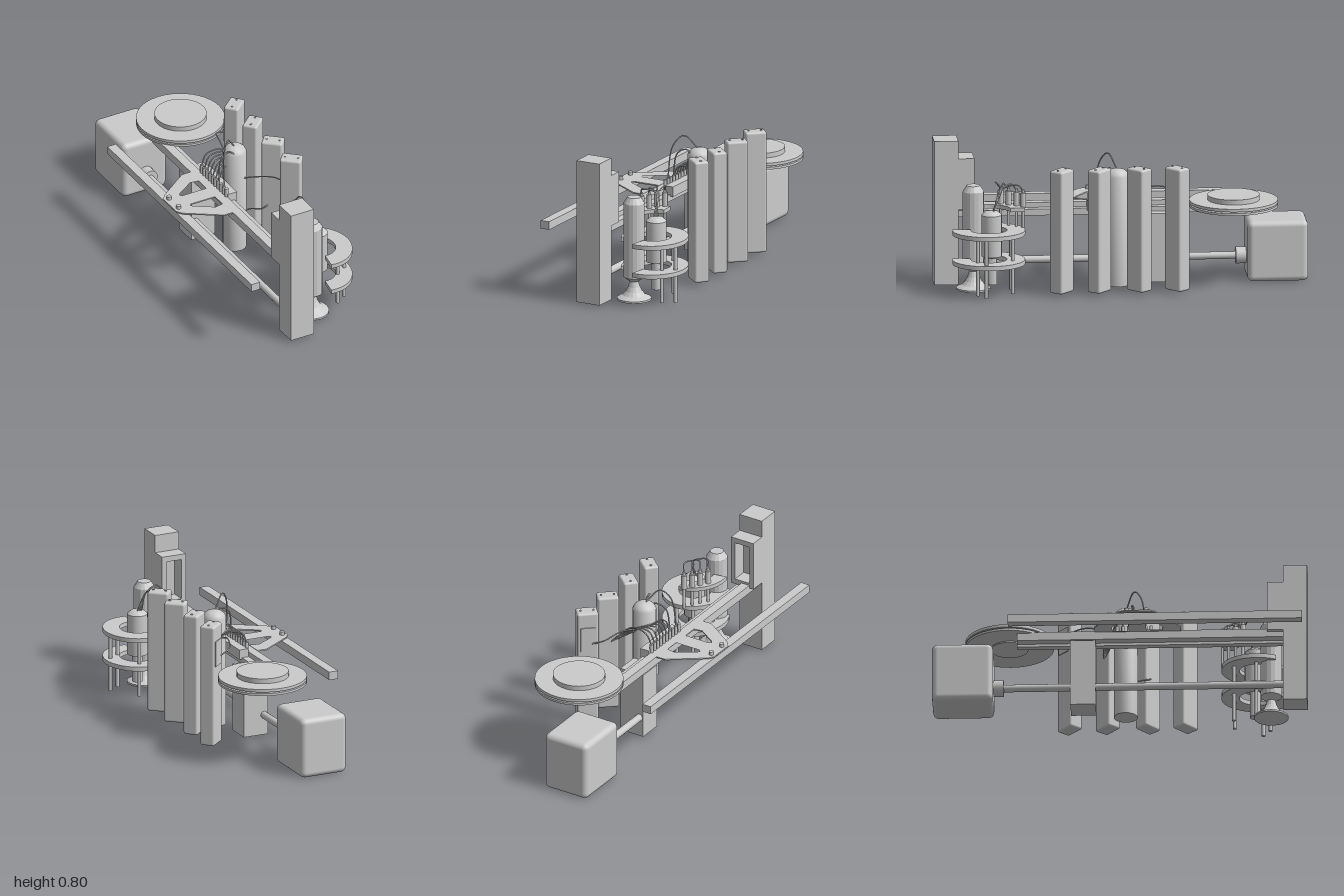
import * as THREE from 'three';
import { RoundedBoxGeometry } from 'three/addons/geometries/RoundedBoxGeometry.js';
import { toCreasedNormals } from 'three/addons/utils/BufferGeometryUtils.js';

const grey = new THREE.MeshStandardMaterial({ color: 0xcccccc });
const flat = new THREE.MeshStandardMaterial({ color: 0xcccccc, flatShading: true });

export function createModel() {
  const model = new THREE.Group();

  const add = (name, geo, x = 0, y = 0, z = 0, mat = grey) => {
    const m = new THREE.Mesh(geo, mat);
    m.name = name;
    m.position.set(x, y, z);
    model.add(m);
    return m;
  };
  // Box given by its limits on each axis
  const box = (name, x0, x1, y0, y1, z0, z1) =>
    add(name, new THREE.BoxGeometry(x1 - x0, y1 - y0, z1 - z0), (x0 + x1) / 2, (y0 + y1) / 2, (z0 + z1) / 2);
  // Upright cylinder from y0 to y1
  const post = (name, x, z, r, y0, y1, sides = 16) =>
    add(name, new THREE.CylinderGeometry(r, r, y1 - y0, sides), x, (y0 + y1) / 2, z);
  // Turned part from [radius, y] pairs
  const turned = (name, pts, x, z, sides, mat = grey) => {
    const geo = new THREE.LatheGeometry(pts.map(p => new THREE.Vector2(...p)), sides);
    return add(name, mat === flat ? geo : toCreasedNormals(geo, 0.6), x, 0, z, mat);
  };
  // Flat plate from an x/z outline, lying between y0 and y1
  const plate = (name, shape, y0, y1) => {
    const geo = new THREE.ExtrudeGeometry(shape, { depth: y1 - y0, bevelEnabled: false });
    geo.rotateX(Math.PI / 2);
    return add(name, toCreasedNormals(geo, 0.5), 0, y1, 0);
  };
  const wire = (name, ...pts) => {
    const curve = new THREE.CatmullRomCurve3(pts.map(p => new THREE.Vector3(...p)));
    return add(name, new THREE.TubeGeometry(curve, 20, 0.004, 6));
  };
  const outline = pts => pts.map(p => new THREE.Vector2(...p));

  // Tower with a hollow box frame on its back
  box('tower', -0.135, 0.005, 0.01, 0.797, 0.87, 1);
  const frame = new THREE.Shape(outline([[-0.135, 0.42], [0.005, 0.42], [0.005, 0.7], [-0.135, 0.7]]));
  frame.holes.push(new THREE.Path(outline([[-0.11, 0.45], [-0.11, 0.67], [-0.02, 0.67], [-0.02, 0.45]])));
  add('towerFrame', new THREE.ExtrudeGeometry(frame, { depth: 0.085, bevelEnabled: false }), 0, 0, 0.785);

  // Long beams, side rail and support post
  box('mainBeam', -0.11, -0.06, 0.39, 0.437, -0.55, 0.87);
  box('lowerBeam', -0.06, -0.02, 0.375, 0.41, -0.55, 0.87);
  box('sideRail', -0.365, -0.313, 0.38, 0.425, -0.59, 0.98);
  box('supportPost', -0.11, 0.035, 0.01, 0.385, -0.265, -0.13);

  // Rounded tank, its collar and floor pipe
  add('tank', new RoundedBoxGeometry(0.27, 0.33, 0.325, 4, 0.03), -0.085, 0.165, -0.8375);
  add('tankPipe', new THREE.CylinderGeometry(0.02, 0.02, 1.55, 16), -0.085, 0.12, 0.1).rotation.x = Math.PI / 2;
  add('pipeCollar', new THREE.CylinderGeometry(0.045, 0.045, 0.06, 20), -0.085, 0.12, -0.65).rotation.x = Math.PI / 2;

  // Stacked discs at the back
  post('lowerDisc', 0.085, -0.595, 0.237, 0.432, 0.445, 40);
  post('discHub', 0.085, -0.595, 0.1, 0.425, 0.46, 32);
  post('upperDisc', 0.085, -0.595, 0.237, 0.452, 0.468, 40);
  post('discCap', 0.085, -0.595, 0.14, 0.468, 0.495, 32);

  // Triangular bracket with two cutouts and bolts
  const bracket = new THREE.Shape(outline([[-0.11, -0.135], [-0.165, -0.135], [-0.35, 0.0], [-0.37, 0.03],
    [-0.37, 0.17], [-0.35, 0.2], [-0.165, 0.325], [-0.11, 0.325]]));
  for (const s of [-1, 1]) {
    const at = z => 0.095 + s * z;
    bracket.holes.push(new THREE.Path(outline([[-0.265, at(0.047)], [-0.118, at(0.047)], [-0.118, at(0.13)],
      [-0.165, at(0.138)], [-0.265, at(0.072)], [-0.275, at(0.058)]])));
    post('bracketBolt', -0.343, at(0.052), 0.013, 0.435, 0.458);
  }
  plate('bracket', bracket, 0.432, 0.439);

  // Four rounded columns, turned in pairs
  const columns = [[0.237, -0.28, 0.72], [0.237, -0.077, 0.72], [0.24, 0.137, -0.72], [0.24, 0.338, -0.72]];
  columns.forEach(([x, z, turn]) => {
    const column = new THREE.Group();
    column.name = 'column';
    column.position.set(x, 0, z);
    column.rotation.y = turn;
    const body = new THREE.Mesh(new RoundedBoxGeometry(0.115, 0.67, 0.082, 3, 0.012), grey);
    body.name = 'columnBody';
    body.position.y = 0.35;
    column.add(body);
    for (const s of [-1, 1]) {
      const stud = new THREE.Mesh(new THREE.CylinderGeometry(0.006, 0.006, 0.008, 10), grey);
      stud.name = 'columnStud';
      stud.position.set(s * 0.035, 0.685, 0);
      column.add(stud);
    }
    model.add(column);
  });
  const panel = new THREE.Mesh(new THREE.BoxGeometry(0.08, 0.14, 0.008), grey);
  panel.name = 'columnPanel';
  panel.position.set(0, 0.53, -0.042);
  model.children.find(c => c.name === 'column').add(panel);

  // Domed cylinder between the beam and the columns
  turned('domedCylinder', [[0, 0.01], [0.064, 0.01], [0.064, 0.605], [0.054, 0.625], [0.035, 0.64], [0, 0.648]],
    0.068, 0.025, 20);

  // Terminal strip with wires gathered at the second column
  box('terminalStrip', -0.06, -0.005, 0.4, 0.455, -0.13, 0.18);
  for (let i = 0; i < 10; i++) {
    const z = -0.105 + i * 0.03;
    post('terminal', -0.06, z, 0.01, 0.43, 0.485, 10);
    if (i < 7) wire('terminalWire', [-0.06, 0.48, z], [-0.03, 0.54, z - 0.005],
      [0.06, 0.55 - i * 0.008, z * 0.5 - 0.05], [0.2, 0.42, -0.095]);
  }
  wire('domeWire', [-0.06, 0.48, 0.14], [-0.045, 0.66, 0.11], [0.0, 0.715, 0.07], [0.06, 0.645, 0.03]);
  wire('domeWire', [-0.06, 0.48, 0.08], [-0.04, 0.61, 0.07], [0.01, 0.635, 0.06], [0.07, 0.595, 0.085]);
  wire('columnWire', [0.08, 0.5, -0.03], [0.09, 0.55, -0.18], [0.13, 0.53, -0.28], [0.2, 0.5, -0.3]);
  wire('columnWire', [0.1, 0.22, 0.05], [0.13, 0.25, 0.08], [0.17, 0.28, 0.15], [0.21, 0.3, 0.15]);
  wire('columnWire', [0.09, 0.45, 0.07], [0.13, 0.48, 0.13], [0.19, 0.51, 0.22], [0.21, 0.53, 0.32]);

  // Tall vessel on a flared foot
  turned('tallVessel', [[0, 0.01], [0.093, 0.01], [0.093, 0.02], [0.062, 0.035], [0.045, 0.055], [0.032, 0.08],
    [0.023, 0.11], [0.057, 0.135], [0.057, 0.545], [0.036, 0.578], [0, 0.578]], 0.105, 0.8, 16, flat);

  // Shorter vessel with a narrow lower stem
  turned('shortVessel', [[0, 0.055], [0.028, 0.055], [0.028, 0.2], [0.055, 0.21], [0.055, 0.435], [0.035, 0.452],
    [0, 0.456]], 0.19, 0.71, 20);

  // Open ring plates around the vessels
  const ringShape = (from, to, inner = 0.5) => {
    const pts = [], n = 32;
    const put = (a, k) => pts.push([0.19 + 0.175 * k * Math.cos(a), 0.725 + 0.195 * k * Math.sin(a)]);
    for (let i = 0; i <= n; i++) put(from + (to - from) * i / n, 1);
    for (let i = n; i >= 0; i--) put(from + (to - from) * i / n, inner);
    return new THREE.Shape(outline(pts));
  };
  plate('upperRing', ringShape(-3.7, 1.75), 0.328, 0.352);
  plate('lowerRing', ringShape(-3.7, 1.75), 0.168, 0.192);
  plate('insulatorShelf', ringShape(-3.3, -1.65, 0.6), 0.444, 0.466);

  // Ring legs
  for (const [x, z] of [[0.33, 0.75], [0.268, 0.79], [0.232, 0.6], [0.08, 0.72], [0.13, 0.6]])
    post('ringLeg', x, z, 0.01, 0.01, 0.335, 12);

  // Insulators, each wired to the short vessel
  [[0.066, 0.65], [0.091, 0.61], [0.115, 0.571], [0.145, 0.537]].forEach(([x, z], i) => {
    post('insulatorStem', x, z, 0.008, 0.34, 0.46, 10);
    post('insulator', x, z, 0.016, 0.46, 0.54, 14);
    post('insulatorTip', x, z, 0.008, 0.54, 0.557, 10);
    wire('insulatorWire', [x, 0.55, z], [x + 0.02, 0.587, z + 0.03],
      [0.165, 0.565, 0.655], [0.17 + i * 0.008, 0.452, 0.7]);
  });

  return model;
}
